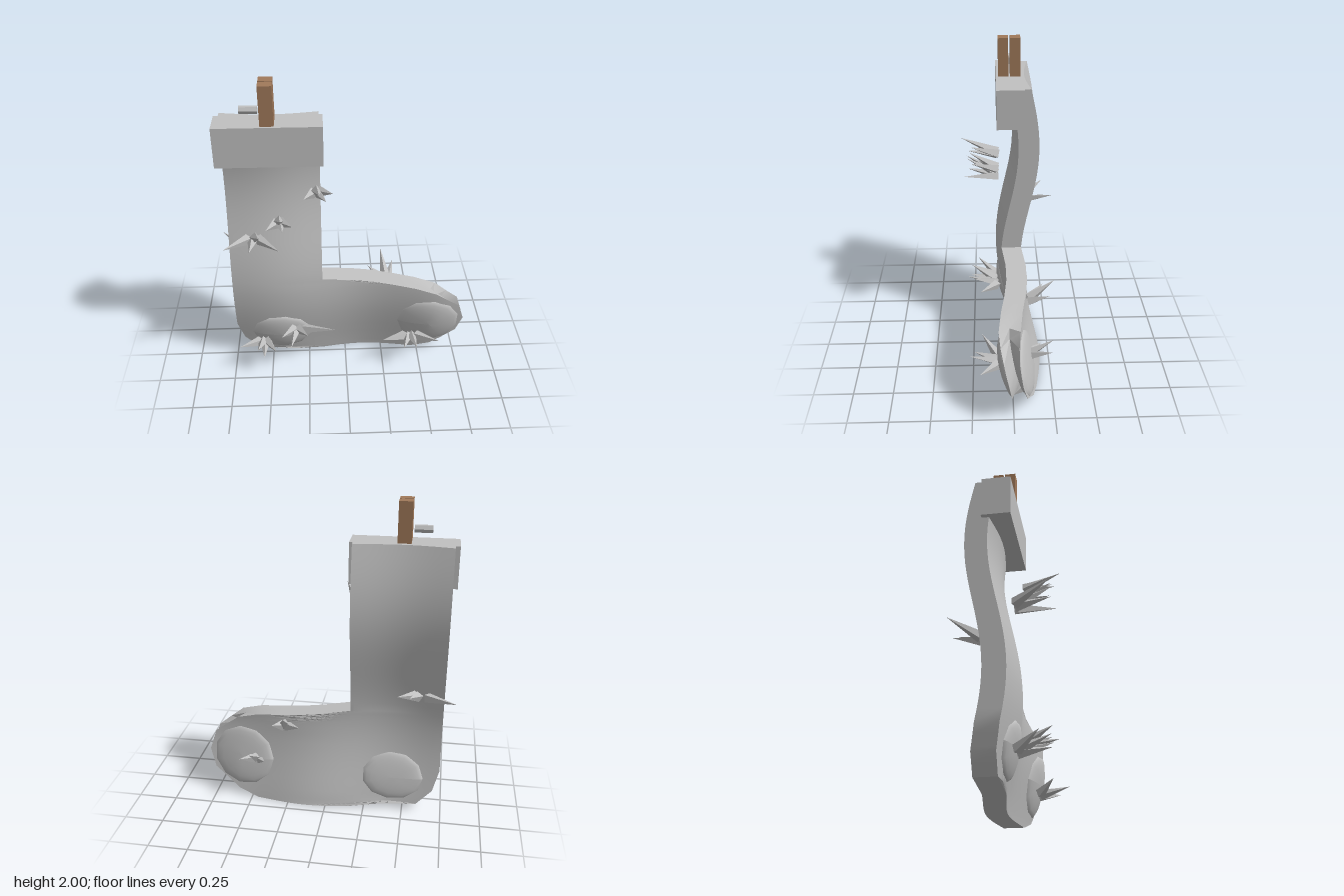
import * as THREE from 'three';
import { toCreasedNormals } from 'three/addons/utils/BufferGeometryUtils.js';

const grey = new THREE.MeshStandardMaterial({ color: 0xc0c0c0 });
grey.name = 'grey';
const brown = new THREE.MeshStandardMaterial({ color: 0xa0795a });
brown.name = 'brown';

// wavy middle surface of the cloth and its half thickness
const bend = (x, y) => -0.062 + 0.057 * Math.cos(Math.PI * (y - 0.57) / 0.8)
  + 0.03 * Math.cos(5.6 * (x + 0.44));
const half = (x) => 0.065 - 0.12 * Math.max(0, x - 0.6);

// piecewise linear lookup in [y, x] pairs
function lookup(points, y) {
  for (let i = 1; i < points.length; i++) {
    const [y0, x0] = points[i - 1], [y1, x1] = points[i];
    if (y <= y1) return x0 + (x1 - x0) * (y - y0) / (y1 - y0);
  }
  return points[points.length - 1][1];
}
const leftEdge = [[0, -0.15], [0.045, -0.59], [0.15, -0.69], [0.29, -0.73], [1.76, -0.73]];
const rightEdge = [[0, 0.46], [0.045, 0.59], [0.17, 0.76], [0.29, 0.8], [0.42, 0.76],
  [0.54, 0.6], [0.58, 0.46], [0.665, -0.15], [1.76, -0.15]];

// cloth body from horizontal cross-sections, with a groove along the toe edge
function bodyGeometry() {
  const rows = [0, 0.02, 0.045, 0.1, 0.15, 0.17, 0.23, 0.29, 0.355, 0.42, 0.48, 0.54, 0.58,
    0.6, 0.62, 0.64, 0.665];
  for (let i = 1; i <= 20; i++) rows.push(0.665 + 1.095 * i / 20);
  const N = 24, S = 2 * N + 3, pos = [], idx = [];
  for (const y of rows) {
    const l = lookup(leftEdge, y), r = lookup(rightEdge, y);
    const at = (i) => l + (r - l) * i / N;
    for (let i = 0; i <= N; i++) pos.push(at(i), y, bend(at(i), y) + half(at(i)));
    const inset = 0.14 * Math.min(1, Math.max(0, (r - 0.55) / 0.2));
    pos.push(r - inset, y, bend(r, y));
    for (let i = N; i >= 0; i--) pos.push(at(i), y, bend(at(i), y) - half(at(i)));
  }
  for (let j = 0; j < rows.length - 1; j++) {
    for (let i = 0; i < S; i++) {
      const a = j * S + i, b = j * S + (i + 1) % S;
      idx.push(a, b, b + S, a, b + S, a + S);
    }
  }
  // sole and top opening
  const top = (rows.length - 1) * S;
  for (let i = 0; i < N; i++) {
    const f0 = i, f1 = i + 1, b0 = 2 * N + 2 - i, b1 = b0 - 1;
    idx.push(top + f0, top + f1, top + b1, top + f0, top + b1, top + b0);
    idx.push(f0, b1, f1, f0, b0, b1);
  }
  const g = new THREE.BufferGeometry();
  g.setAttribute('position', new THREE.Float32BufferAttribute(pos, 3));
  g.setIndex(idx);
  return toCreasedNormals(g, 0.5);
}

// padded patch that follows the cloth, side = 1 front or -1 back
function patchGeometry(cx, cy, rx, ry, side) {
  const g = new THREE.SphereGeometry(1, 11, 6, 0, Math.PI * 2, 0, Math.PI / 2);
  g.rotateX(side * Math.PI / 2);
  const p = g.attributes.position;
  for (let i = 0; i < p.count; i++) {
    const x = cx + rx * p.getX(i), y = cy + ry * p.getY(i);
    p.setXYZ(i, x, y, bend(x, y) + side * (half(x) - 0.004) + 0.036 * p.getZ(i));
  }
  g.computeVertexNormals();
  return g;
}

// one sharp four-sided spike from base to tip
function spike(base, tip, radius) {
  const dir = tip.clone().sub(base), len = dir.length();
  const g = new THREE.ConeGeometry(radius, len, 4).toNonIndexed();
  g.translate(0, len / 2, 0);
  g.computeVertexNormals();
  const m = new THREE.Mesh(g, grey);
  m.name = 'spike';
  m.position.copy(base);
  m.quaternion.setFromUnitVectors(new THREE.Vector3(0, 1, 0), dir.normalize());
  return m;
}

// holly-like sprig: root point and spike tips
const sprigs = [
  [[-0.18, 1.33, 0.08], [-0.16, 1.45, 0.3], [-0.08, 1.42, 0.24], [-0.25, 1.36, 0.2], [-0.12, 1.38, 0.26]],
  [[-0.41, 1.12, 0.08], [-0.39, 1.25, 0.26], [-0.32, 1.2, 0.24], [-0.48, 1.15, 0.2], [-0.38, 1.17, 0.25]],
  [[-0.57, 1.0, 0.08], [-0.52, 1.15, 0.28], [-0.4, 1.07, 0.3], [-0.73, 1.08, 0.29], [-0.58, 1.05, 0.28]],
  [[-0.55, 0.17, 0.09], [-0.58, 0.26, 0.27], [-0.7, 0.25, 0.22], [-0.46, 0.25, 0.27], [-0.54, 0.2, 0.27]],
  [[-0.33, 0.27, 0.09], [-0.07, 0.36, 0.2], [-0.25, 0.35, 0.24], [-0.42, 0.36, 0.26], [-0.36, 0.3, 0.29]],
  [[0.44, 0.19, 0.09], [0.24, 0.25, 0.19], [0.62, 0.235, 0.2], [0.46, 0.25, 0.27], [0.38, 0.22, 0.24]],
  [[-0.58, 0.8, -0.1], [-0.8, 0.85, -0.25], [-0.45, 0.9, -0.3], [-0.52, 0.87, -0.25]],
  [[0.28, 0.53, -0.11], [0.25, 0.67, -0.27], [0.16, 0.58, -0.2], [0.33, 0.6, -0.23]],
  [[0.47, 0.26, -0.1], [0.48, 0.38, -0.25], [0.55, 0.34, -0.24], [0.4, 0.3, -0.18]],
];

export function createModel() {
  const group = new THREE.Group();
  const add = (name, geometry, material, x = 0, y = 0, z = 0) => {
    const m = new THREE.Mesh(geometry, material);
    m.name = name;
    m.position.set(x, y, z);
    group.add(m);
    return m;
  };

  add('stockingBody', bodyGeometry(), grey);
  for (const side of [1, -1]) {
    add('heelPatch', patchGeometry(-0.43, 0.22, 0.2, 0.16, side), grey);
    add('toePatch', patchGeometry(0.56, 0.28, 0.21, 0.2, side), grey);
  }

  // cuff, hanging loop straps and peg
  add('cuff', new THREE.BoxGeometry(0.63, 0.25, 0.17), grey, -0.443, 1.635, -0.005);
  for (const z of [0.033, -0.042]) {
    add('loopStrap', new THREE.BoxGeometry(0.08, 0.3, 0.064), brown, -0.443, 1.85, z);
  }
  const peg = new THREE.CylinderGeometry(0.024, 0.024, 0.105, 6).toNonIndexed();
  peg.computeVertexNormals();
  add('peg', peg, grey, -0.547, 1.833, -0.006).rotation.z = Math.PI / 2;

  // sprigs of spikes, their bases spread a little toward each tip
  for (const [root, ...tips] of sprigs) {
    const sprig = new THREE.Group();
    sprig.name = 'sprig';
    const r = new THREE.Vector3(...root);
    for (const t of tips) {
      const tip = new THREE.Vector3(...t), base = r.clone();
      base.x += 0.2 * (tip.x - r.x);
      base.y += 0.15 * (tip.y - r.y);
      sprig.add(spike(base, tip, 0.034));
    }
    group.add(sprig);
  }
  return group;
}
